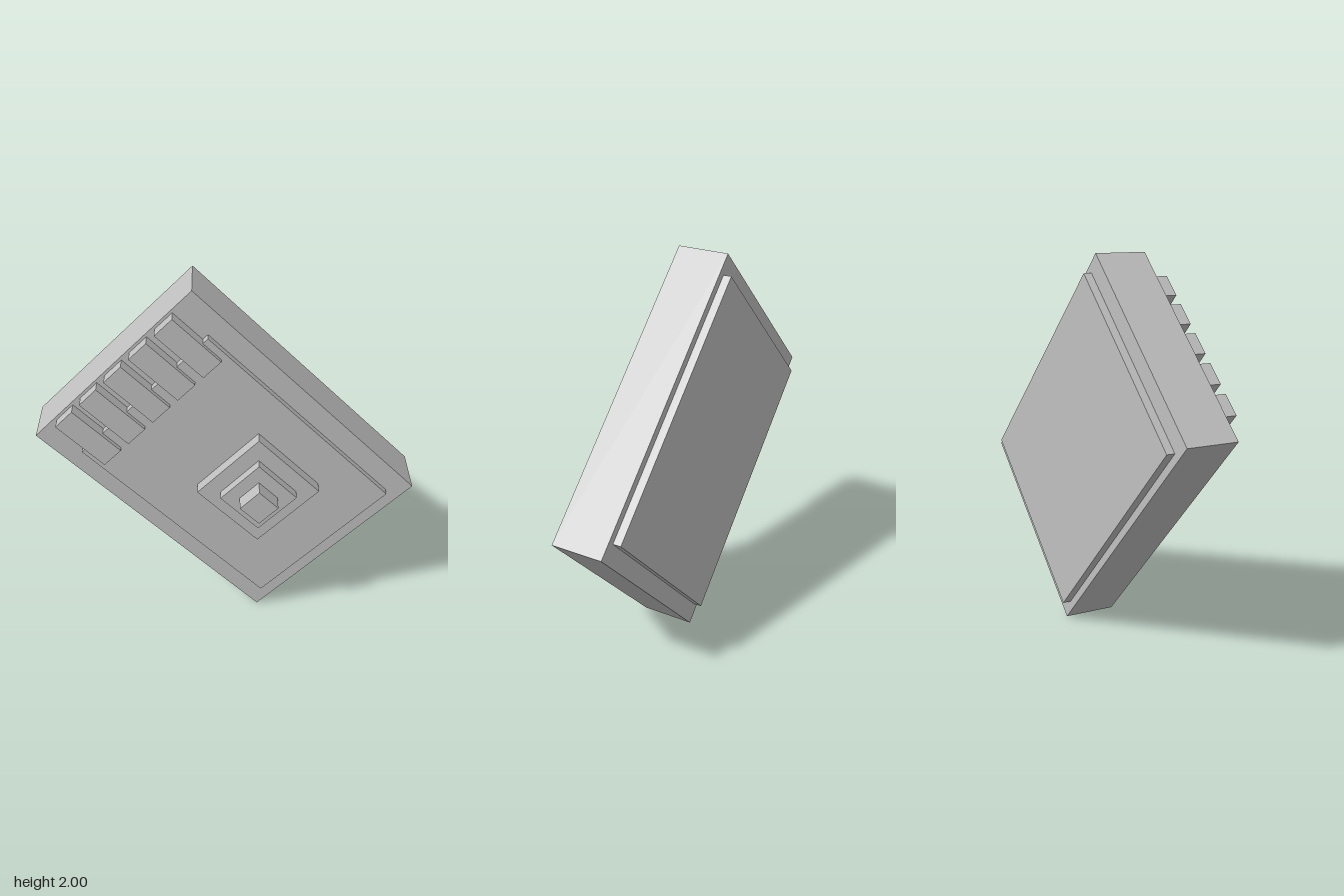
import * as THREE from 'three';

export function createModel() {
  const model = new THREE.Group();
  const grey = new THREE.MeshStandardMaterial({ color: 0xc0c0c0 });
  grey.name = 'light grey';

  // Everything is laid out upright, then the whole device is tilted 45 degrees
  const device = new THREE.Group();
  device.name = 'tiltedDevice';
  device.position.y = 1;
  device.rotation.z = Math.PI / 4;
  model.add(device);

  // Box given by its centre, width, height and depth range
  function slab(name, x, y, w, h, z0, z1) {
    const mesh = new THREE.Mesh(new THREE.BoxGeometry(w, h, z1 - z0), grey);
    mesh.name = name;
    mesh.position.set(x, y, (z0 + z1) / 2);
    device.add(mesh);
  }

  const face = 0.033;
  slab('body', 0, 0, 1.17, 1.655, -0.25, face);
  slab('backPlate', 0, 0, 1.09, 1.455, -0.294, -0.25);
  slab('frontPlate', 0, -0.067, 0.94, 1.344, face, 0.077);

  // Stepped square button
  const steps = [[0.455, 0.148], [0.283, 0.204], [0.141, 0.294]];
  let base = 0.077;
  steps.forEach(([size, top], i) => {
    slab('buttonStep' + (i + 1), 0.031, -0.198, size, size, base, top);
    base = top;
  });

  // Row of contact strips along the upper edge
  for (let i = 0; i < 5; i++) {
    slab('contactStrip' + (i + 1), (i - 2) * 0.185, 0.645, 0.127, 0.336, face, 0.104);
  }

  return model;
}
